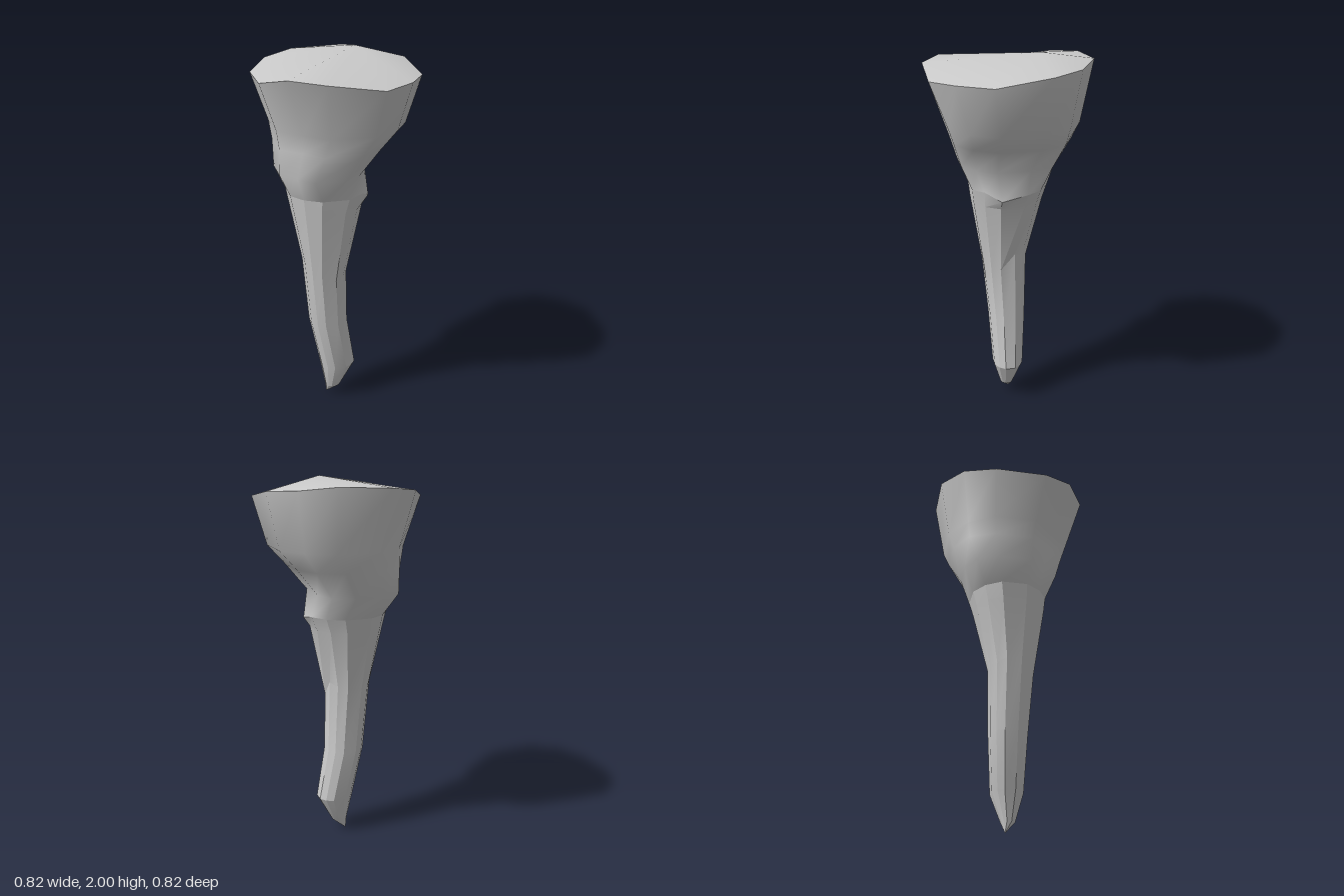
import * as THREE from 'three';
import { toCreasedNormals } from 'three/addons/utils/BufferGeometryUtils.js';

const material = new THREE.MeshStandardMaterial({ color: 0xcccccc });

// Twelve-sided cross-section: one quadrant mirrored into a loop from +x towards +z
const section = [];
for (const [sx, sz] of [[1, 1], [-1, 1], [-1, -1], [1, -1]]) {
  const corner = [[1, 0.34], [0.74, 0.74], [0.34, 1]].map(([x, z]) => [x * sx, z * sz]);
  section.push(...(sx * sz > 0 ? corner : corner.reverse()));
}

// Fit the section to [xMin, xMax, zMin, zMax]. Heights are one number or one per point;
// corners scales the four diagonal points.
function ring(heights, [x0, x1, z0, z1], corners = [1, 1, 1, 1]) {
  return section.map(([x, z], i) => {
    const s = i % 3 === 1 ? corners[(i - 1) / 3] : 1;
    return [
      (x0 + x1) / 2 + s * x * (x1 - x0) / 2,
      Array.isArray(heights) ? heights[i] : heights,
      (z0 + z1) / 2 + s * z * (z1 - z0) / 2,
    ];
  });
}

// Skin the rings from top to bottom, closing with fans where end points are given
function loft(rings, topPoint, endPoint, crease) {
  const n = section.length;
  const last = rings[rings.length - 1];
  const out = [];
  const tri = (a, b, c) => out.push(...a, ...b, ...c);
  for (let i = 0; i < n; i++) {
    const j = (i + 1) % n;
    for (let r = 0; r < rings.length - 1; r++) {
      const [a, b, c, d] = [rings[r][i], rings[r][j], rings[r + 1][j], rings[r + 1][i]];
      tri(a, b, c);
      tri(a, c, d);
    }
    if (topPoint) tri(topPoint, rings[0][j], rings[0][i]);
    if (endPoint) tri(endPoint, last[i], last[j]);
  }
  const geometry = new THREE.BufferGeometry();
  geometry.setAttribute('position', new THREE.Float32BufferAttribute(out, 3));
  return toCreasedNormals(geometry, crease);
}

export function createModel() {
  const group = new THREE.Group();
  group.name = 'taperedSpike';
  const add = (name, geometry) => {
    const mesh = new THREE.Mesh(geometry, material);
    mesh.name = name;
    group.add(mesh);
  };

  // Uneven ring shared by the head and the shaft
  const joint = ring(
    [1.25, 1.29, 1.28, 1.28, 1.28, 1.28, 1.28, 1.28, 1.28, 1.28, 1.28, 1.28],
    [-0.255, 0.165, -0.21, 0.19],
  );

  // Smooth flared head with an uneven rim, a peaked top and a notch on its left side
  const rimHeights = [1.89, 1.89, 1.88, 1.92, 1.93, 1.89, 1.89, 1.93, 1.95, 1.96, 1.94, 1.93];
  const headRings = [
    ring(rimHeights, [-0.41, 0.41, -0.41, 0.41]),
    ring(1.64, [-0.325, 0.345, -0.352, 0.32], [1, 0.91, 1, 1]),
    ring(1.54, [-0.31, 0.255, -0.325, 0.285], [1, 0.89, 1.05, 1.06]),
    ring(1.4, [-0.31, 0.14, -0.265, 0.24], [1, 0.9, 1.08, 1.12]),
    joint,
  ];
  add('flaredHead', loft(headRings, [0.14, 2, -0.14], null, 1.2));

  // Faceted shaft, bending slightly and ending in an off-centre point
  const bendHeights = [0.81, 0.8, 0.79, 0.82, 0.84, 0.88, 0.88, 0.86, 0.86, 0.86, 0.88, 0.9];
  const shaftRings = [
    joint,
    ring(1.2, [-0.24, 0.13, -0.19, 0.18]),
    ring(bendHeights, [-0.18, 0.05, -0.112, 0.12]),
    ring(0.5, [-0.145, 0.06, -0.103, 0.093]),
    ring(0.21, [-0.085, 0.107, -0.082, 0.08]),
    ring(0.06, [-0.058, 0.025, -0.035, 0.035]),
  ];
  add('facetedShaft', loft(shaftRings, null, [-0.05, 0, -0.02], 0.3));

  return group;
}
